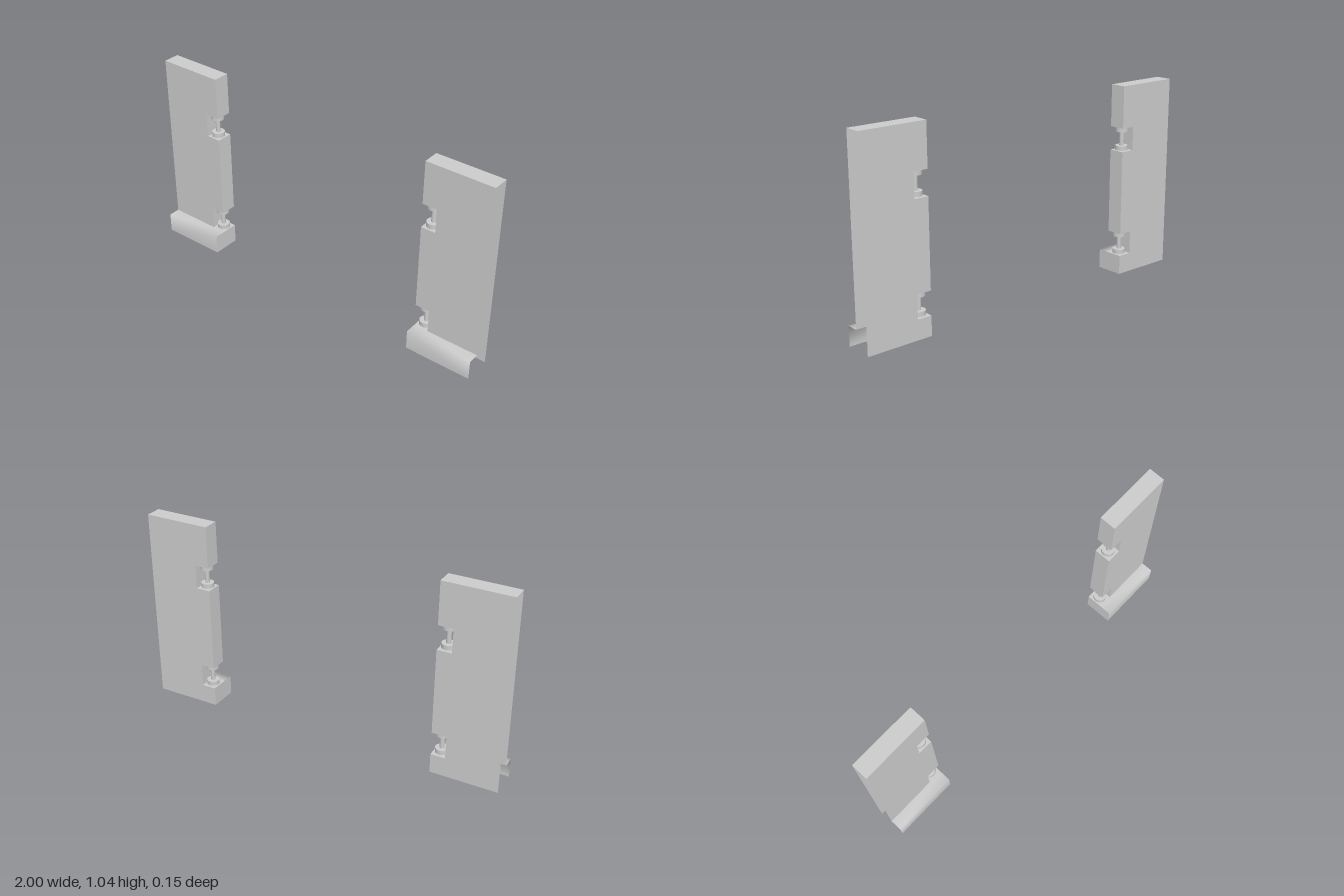
import * as THREE from 'three';

const material = new THREE.MeshStandardMaterial({ color: 0xcccccc, side: THREE.DoubleSide });

const H = 1.045, LEDGE = 0.105;              // overall and plinth height
const OUT = 1, IN = 0.64, CUT = 0.718;       // outer end, inner edge, notch depth
const BACK = -0.076, FACE = 0.0125, TOE = 0.076;
const NOTCHES = [[0.69, 0.818], [LEDGE, 0.23]];

function add(parent, name, geometry) {
  const mesh = new THREE.Mesh(geometry, material);
  mesh.name = name;
  parent.add(mesh);
  return mesh;
}

// Sheet between two matching rows of points; flat gives hard folds
function sheet(a, b, flat) {
  const index = [];
  const n = a.length;
  for (let i = 0; i < n - 1; i++) index.push(i, n + i, i + 1, i + 1, n + i, n + i + 1);
  let g = new THREE.BufferGeometry();
  g.setAttribute('position', new THREE.Float32BufferAttribute([...a, ...b].flat(), 3));
  g.setIndex(index);
  if (flat) g = g.toNonIndexed();
  g.computeVertexNormals();
  return g;
}

// Top and notched inner edge of the panel, from the outer top corner down
function edgePoints() {
  const p = [[OUT, H], [IN, H]];
  for (const [low, high] of NOTCHES) p.push([IN, high], [CUT, high], [CUT, low], [IN, low]);
  return p;
}

function panel(bottom) {
  const p = edgePoints();
  p.push([IN, bottom], [OUT, bottom]);
  return new THREE.ShapeGeometry(new THREE.Shape(p.map(([x, y]) => new THREE.Vector2(x, y))));
}

// Spindle with a round flange at each end, filling a notch
function createHinge(low, high) {
  const hinge = new THREE.Group();
  hinge.name = 'hinge';
  hinge.position.set(0.68, 0, -0.03);
  const mid = (low + high) / 2;
  add(hinge, 'hingePin', new THREE.CylinderGeometry(0.012, 0.012, high - low, 16)).position.y = mid;
  for (const y of [low + 0.014, high - 0.014]) {
    add(hinge, 'hingeFlange', new THREE.CylinderGeometry(0.034, 0.034, 0.024, 24)).position.y = y;
  }
  return hinge;
}

// Hollow post, open at its outer end and underneath
function createPost() {
  const post = new THREE.Group();
  add(post, 'frontPanel', panel(LEDGE)).position.z = FACE;
  const back = add(post, 'backPanel', panel(0).rotateY(Math.PI).scale(-1, 1, 1));
  back.geometry = panel(0);
  const index = back.geometry.index.array;
  for (let i = 0; i < index.length; i += 3) [index[i], index[i + 1]] = [index[i + 1], index[i]];
  back.geometry.computeVertexNormals();
  back.position.z = BACK;

  const edge = edgePoints();
  add(post, 'panelEdge', sheet(
    edge.map(([x, y]) => [x, y, BACK]), edge.map(([x, y]) => [x, y, FACE]), true));

  // Plinth: softly shaded ledge and front, closed inner end
  const profile = [[LEDGE, FACE], [LEDGE, TOE], [0, TOE]];
  add(post, 'plinthFront', sheet(
    profile.map(([y, z]) => [IN, y, z]).reverse(), profile.map(([y, z]) => [OUT, y, z]).reverse()));
  add(post, 'plinthEnd', sheet(
    [[IN, LEDGE, BACK], [IN, 0, BACK]], [[IN, LEDGE, TOE], [IN, 0, TOE]], true));

  for (const [low, high] of NOTCHES) post.add(createHinge(low, high));
  return post;
}

export function createModel() {
  const model = new THREE.Group();
  model.name = 'gatePosts';
  const left = createPost();
  left.name = 'leftPost';
  const right = createPost();
  right.name = 'rightPost';
  right.scale.x = -1;
  model.add(left, right);
  return model;
}
